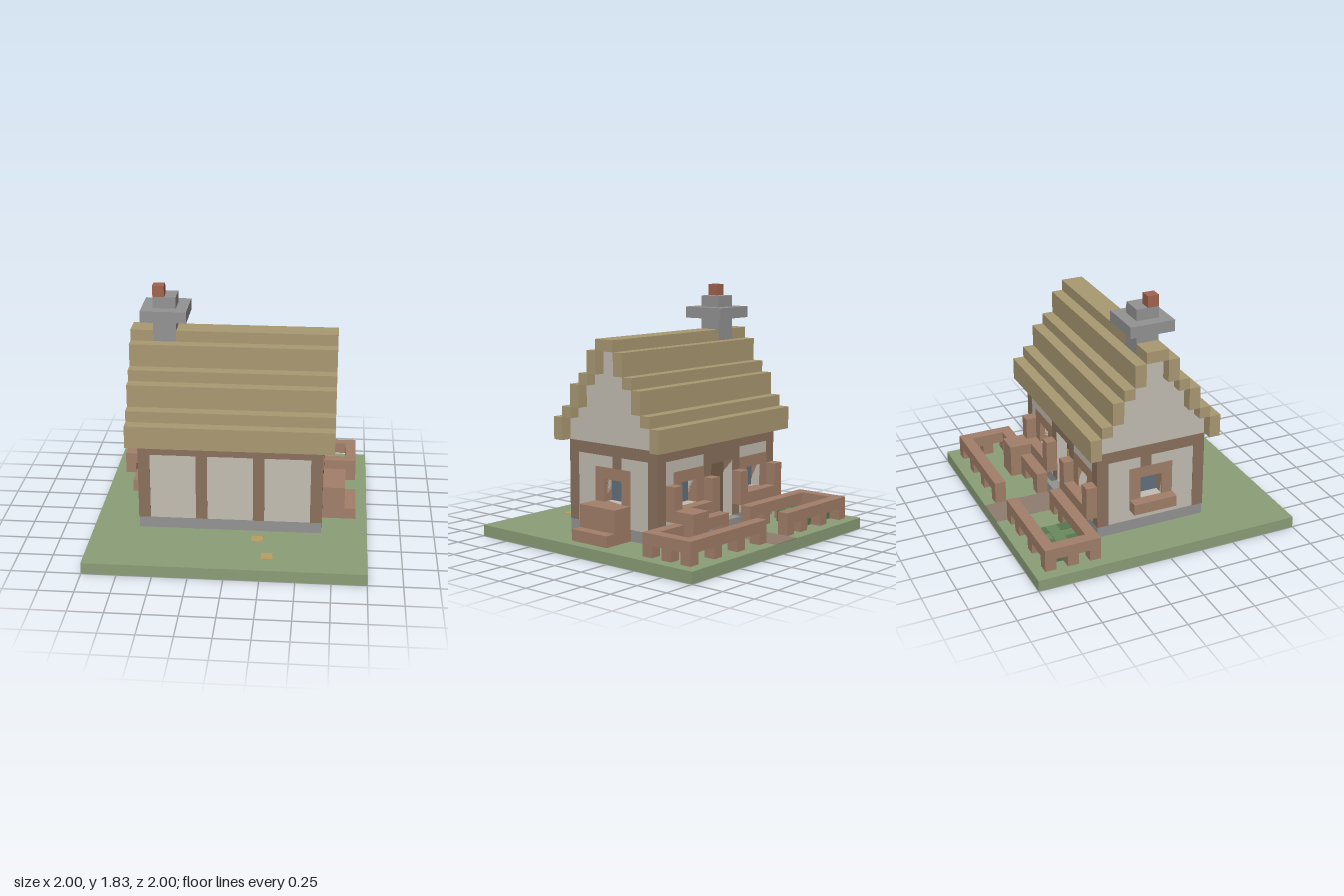
import * as THREE from 'three';

// All part sizes are in blocks; twelve blocks make one unit.
const COLORS = {
  grass: 0x8c9f78, path: 0x8f7d6f, stone: 0x949494, plaster: 0xc4bfb3, timber: 0x8b725d,
  wood: 0xa3806a, thatch: 0xab9a73, glass: 0x62717f, clay: 0xa3644f, leaf: 0x6b8a5e,
  darkLeaf: 0x587650, straw: 0xb99f62, door: 0x77604c, floor: 0x555555,
};
const mats = {};
const mat = (c) => (mats[c] ??= new THREE.MeshStandardMaterial({
  color: COLORS[c], flatShading: true, side: THREE.DoubleSide }));

function addMesh(parent, name, color, geometry) {
  const m = new THREE.Mesh(geometry, mat(color));
  m.name = name;
  parent.add(m);
  return m;
}

// Box from min/max block coordinates; boxes on the ground sink in a little.
function box(parent, name, color, x0, x1, y0, y1, z0, z1) {
  if (y0 === 1) y0 = 0.98;
  const g = new THREE.BoxGeometry(x1 - x0, y1 - y0, z1 - z0);
  g.translate((x0 + x1) / 2, (y0 + y1) / 2, (z0 + z1) / 2);
  return addMesh(parent, name, color, g);
}

function rectShape([x0, x1, y0, y1], holes = []) {
  const pts = (a, b, c, d) => [[a, c], [b, c], [b, d], [a, d]].map((p) => new THREE.Vector2(...p));
  const s = new THREE.Shape(pts(x0, x1, y0, y1));
  for (const h of holes) s.holes.push(new THREE.Path(pts(...h)));
  return s;
}

// Upright slab with openings, outer face at z = proud, one block thick.
function panel(parent, name, color, rect, holes, proud = 0) {
  const g = new THREE.ExtrudeGeometry(rectShape(rect, holes), { depth: 1, bevelEnabled: false });
  return addMesh(parent, name, color, g.translate(0, 0, proud - 1));
}

function group(parent, name) {
  const g = new THREE.Group();
  g.name = name;
  parent.add(g);
  return g;
}

// Half-timbered wall in its own plane: u sideways, y up, facing +z.
function wall(parent, name, half, posts, openings) {
  const g = group(parent, name);
  panel(g, 'plaster', 'plaster', [-half, half, 2, 9], openings);
  const p = 0.04;
  box(g, 'topBeam', 'timber', -half - p, half + p, 8, 9, -1, p);
  for (const [u, y0, y1] of posts) {
    const a = u === -half ? u - p : u, b = u + 1 === half ? half + p : u + 1;
    box(g, 'post', 'timber', a, b, y0, y1, -1, p);
  }
  return g;
}

function window2(parent, u) {
  panel(parent, 'windowFrame', 'wood', [u - 2, u + 2, 3, 7], [[u - 1, u + 1, 4, 6]], 0.06);
  box(parent, 'windowPane', 'glass', u - 1, u + 1, 4, 6, -1.1, -0.9);
}

function buildGround(root) {
  const g = group(root, 'ground');
  const rim = new THREE.CylinderGeometry(12 * Math.SQRT2, 12 * Math.SQRT2, 1, 4, 1, true);
  addMesh(g, 'groundEdge', 'grass', rim.rotateY(Math.PI / 4).translate(0, 0.5, 0));
  const top = new THREE.ShapeGeometry(rectShape([-12, 12, -12, 12], [[-8, 8, -5, 5]]));
  addMesh(g, 'lawn', 'grass', top.rotateX(-Math.PI / 2).translate(0, 1, 0));
  box(g, 'path', 'path', -2, 1, 0.97, 1.03, -12, -6);
  box(g, 'doorstep', 'stone', -2, 1, 1, 2, -6, -5);
  for (const [x, z] of [[2, 6], [3, 9]]) box(g, 'strawPatch', 'straw', x, x + 1, 0.97, 1.03, z, z + 1);
}

function buildHouse(root) {
  const g = group(root, 'house');
  const base = new THREE.ExtrudeGeometry(rectShape([-8, 8, -5, 5], [[-7, 7, -4, 4]]),
    { depth: 1, bevelEnabled: false });
  addMesh(g, 'foundation', 'stone', base.rotateX(-Math.PI / 2).translate(0, 1, 0));
  box(g, 'floor', 'floor', -7, 7, 1.9, 2, -4, 4);

  // Front wall
  wall(g, 'frontWall', 8, [-8, -3, 2, 7].map((u) => [u, 2, 8]), []).position.z = 5;

  // Back wall with door and two windows; its u runs along -x
  const back = wall(g, 'backWall', 8, [-8, 7].map((u) => [u, 2, 8]),
    [[-1, 2, 2.01, 7], [4, 6, 4, 6], [-5, -3, 4, 6]]);
  back.rotation.y = Math.PI;
  back.position.z = -5;
  window2(back, 5);
  window2(back, -4);
  box(back, 'door', 'door', -1, 2, 2, 7, -1.2, -1);
  box(back, 'doorHandle', 'straw', -1, 0, 4, 5, -1.05, -0.95);
  for (const u of [-2, 2]) box(back, 'doorPost', 'timber', u, u + 1, 2, 8, -1, 0.04);
  box(back, 'doorLintel', 'timber', -1, 2, 7, 8, -1, 0.04);

  // Window boxes with uprights beside the door
  for (const x of [-8, 1]) {
    box(g, 'windowBox', 'wood', x + 1, x + 5, 3, 4, -6, -5);
    for (const px of [x, x + 5]) box(g, 'windowBoxPost', 'wood', px, px + 1, 3, 6, -6, -5);
  }

  // End walls with a window each
  for (const s of [1, -1]) {
    const end = wall(g, s > 0 ? 'leftWall' : 'rightWall', 5,
      [[-5, 2, 8], [4, 2, 8], [s > 0 ? 0 : -1, 7, 8]], [[-1, 1, 4, 6]]);
    end.rotation.y = s * Math.PI / 2;
    end.position.x = s * 8;
    window2(end, 0);
  }
  box(g, 'sideWindowBox', 'wood', -9, -8, 3, 4, -2, 2);

  // Stepped bench on the left end
  box(g, 'bench', 'wood', 8, 10, 1, 4, -2, 2);
  box(g, 'benchStep', 'wood', 10, 11, 1, 2, -2, 2);
}

function buildRoof(root) {
  const g = group(root, 'roof');
  // Each row: inner z, bottom and top of one thatch course
  const courses = [[5, 9, 11], [4, 11, 12], [3, 12, 14], [2, 14, 15], [1, 15, 17]];
  for (const [z, y0, y1] of courses) {
    box(g, 'thatchCourse', 'thatch', -9, 9, y0, y1, z, z + 1);
    box(g, 'thatchCourse', 'thatch', -9, 9, y0, y1, -z - 1, -z);
    for (const x of [-8, 7]) box(g, 'gable', 'plaster', x, x + 1, y0, y1, -z, z);
  }
  box(g, 'ridge', 'thatch', -9, -7, 17, 18, -1, 1);
  box(g, 'ridge', 'thatch', -5, 9, 17, 18, -1, 1);

  const c = group(root, 'chimney');
  box(c, 'chimneyStack', 'stone', -7, -5, 17, 19, -1, 1);
  box(c, 'chimneyCap', 'stone', -8, -4, 19, 20, -2, 2);
  box(c, 'chimneyTop', 'stone', -7, -5, 20, 21, -1, 1);
  box(c, 'chimneyPot', 'clay', -7, -6, 21, 22, 0, 1);
}

function buildGarden(root) {
  const g = group(root, 'garden');
  // Two fenced plots on either side of the path: [x0, x1, outer side, post x]
  const plots = [[-11, -2, -11, [-11, -8, -5, -3]], [1, 11, 10, [1, 4, 7, 10]]];
  for (const [x0, x1, side, posts] of plots) {
    for (const z of [-11, -7]) {
      box(g, 'fenceRail', 'wood', x0, x1, 2, 3, z, z + 1);
      for (const x of posts) box(g, 'fencePost', 'wood', x, x + 1, 1, 2, z, z + 1);
    }
    box(g, 'fenceSideRail', 'wood', side, side + 1, 2, 3, -10, -7);
    box(g, 'fenceSidePost', 'wood', side, side + 1, 1, 2, -9, -8);
  }
  box(g, 'gardenBox', 'wood', 5, 7, 1, 4, -8, -5.99);

  // Leafy bed: a cross with darker corner plants
  box(g, 'plantRow', 'leaf', -10, -6, 1, 2, -9, -8);
  box(g, 'plantRow', 'leaf', -8, -7, 1, 1.95, -10, -7);
  for (const z of [-10, -8]) {
    for (const x of [-9, -7]) box(g, 'cornerPlant', 'darkLeaf', x, x + 1, 1, 2, z, z + 1);
  }
  box(g, 'cornerPlant', 'darkLeaf', -10, -9, 1, 2, -10, -9);
}

export function createModel() {
  const root = new THREE.Group();
  root.name = 'thatchedCottage';
  buildGround(root);
  buildHouse(root);
  buildRoof(root);
  buildGarden(root);
  root.scale.setScalar(1 / 12);
  return root;
}
